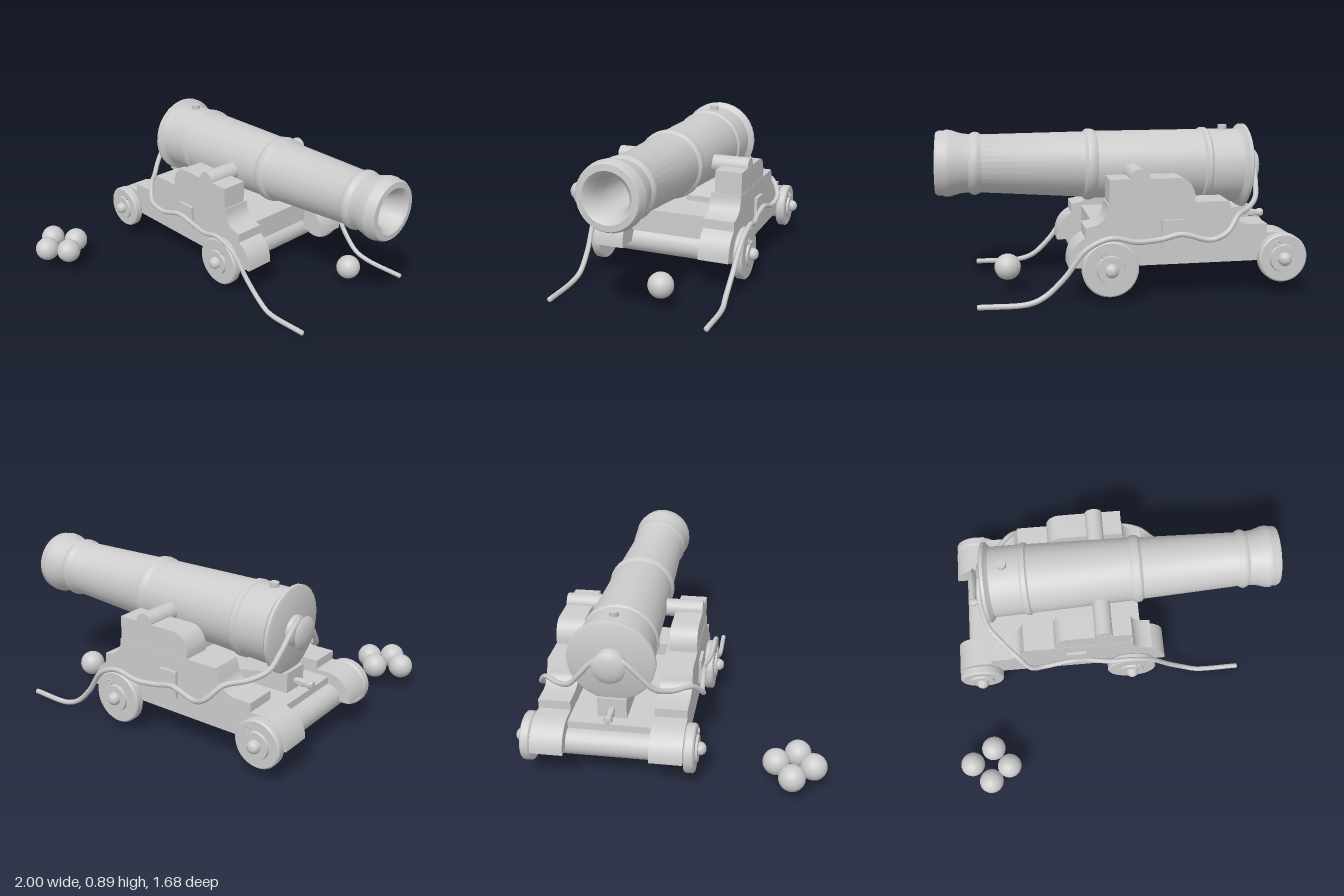
import * as THREE from 'three';
import { toCreasedNormals } from 'three/addons/utils/BufferGeometryUtils.js';

const grey = new THREE.MeshStandardMaterial({ color: 0xcccccc, side: THREE.DoubleSide });

function add(parent, name, geometry, x = 0, y = 0, z = 0) {
  const mesh = new THREE.Mesh(geometry, grey);
  mesh.name = name;
  mesh.position.set(x, y, z);
  parent.add(mesh);
  return mesh;
}

const lathe = (pts, sides, crease = 0.6) => toCreasedNormals(
  new THREE.LatheGeometry(pts.map(([r, h]) => new THREE.Vector2(r, h)), sides), crease);

// Box given by its limits
function block(parent, name, x0, x1, y0, y1, z0, z1) {
  return add(parent, name, new THREE.BoxGeometry(x1 - x0, y1 - y0, z1 - z0),
    (x0 + x1) / 2, (y0 + y1) / 2, (z0 + z1) / 2);
}

// Extrude a side outline between two distances from the centre line, on side s
function slab(parent, name, shape, near, far, s) {
  const geo = new THREE.ExtrudeGeometry(shape, { depth: far - near, bevelEnabled: false, curveSegments: 10 });
  return add(parent, name, toCreasedNormals(geo, 0.5), 0, 0, s > 0 ? near : -far);
}

function cheekShape() {
  const p = new THREE.Shape();
  p.moveTo(-0.98, 0.195);
  p.absarc(-0.83, 0.2, 0.15, Math.PI, Math.PI / 2, true);
  p.lineTo(-0.765, 0.35);
  p.lineTo(-0.765, 0.4);
  p.lineTo(-0.665, 0.4);
  p.quadraticCurveTo(-0.58, 0.41, -0.57, 0.475);
  p.lineTo(-0.55, 0.53);
  p.lineTo(0.1, 0.53);
  p.quadraticCurveTo(0.1, 0.415, 0.22, 0.41);
  p.lineTo(0.22, 0.355);
  p.quadraticCurveTo(0.307, 0.31, 0.307, 0.195);
  p.closePath();
  return p;
}

function capShape() {
  const p = new THREE.Shape();
  p.moveTo(-0.366, 0.53);
  p.lineTo(-0.366, 0.57);
  p.quadraticCurveTo(-0.345, 0.655, -0.28, 0.66);
  p.lineTo(0.093, 0.66);
  p.lineTo(0.093, 0.53);
  p.closePath();
  return p;
}

function createBarrel() {
  const barrel = new THREE.Group();
  barrel.name = 'barrel';
  barrel.position.y = 0.678;
  barrel.rotation.z = -Math.PI / 2 + 0.03;
  // Tube with reinforcing rings, muzzle swell and hollow bore
  add(barrel, 'barrelTube', lathe([
    [0, -0.75], [0.225, -0.75], [0.24, -0.742], [0.24, -0.725], [0.222, -0.712], [0.21, -0.7],
    [0.207, -0.525], [0.216, -0.515], [0.216, -0.49], [0.205, -0.48],
    [0.187, 0.115], [0.197, 0.13], [0.2, 0.15], [0.197, 0.17], [0.183, 0.185],
    [0.16, 0.745], [0.172, 0.765], [0.174, 0.78], [0.17, 0.795], [0.16, 0.81],
    [0.165, 0.855], [0.182, 0.91], [0.184, 0.935], [0.177, 0.948], [0.177, 0.975], [0.168, 0.99],
    [0.135, 0.993], [0.115, 0.975], [0.095, 0.92], [0.085, 0.85], [0.085, 0.35], [0, 0.35],
  ], 32));
  // Cascabel: neck, collar and flattened button
  add(barrel, 'cascabel', lathe([
    [0, -0.84], [0.05, -0.836], [0.08, -0.826], [0.092, -0.815], [0.08, -0.803], [0.04, -0.795],
    [0.04, -0.785], [0.075, -0.778], [0.083, -0.765], [0.083, -0.745],
  ], 24, 1));
  const vent = add(barrel, 'vent', new THREE.CylinderGeometry(0.026, 0.026, 0.05, 14), -0.208, -0.617, 0);
  vent.rotation.z = Math.PI / 2;
  return barrel;
}

function createWheel(name, x, y, r, s) {
  const wheel = new THREE.Group();
  wheel.name = name;
  wheel.position.set(x, y, s * 0.41);
  wheel.rotation.x = s * Math.PI / 2;
  // Disc, raised centre plate and domed axle end
  add(wheel, 'disc', lathe([[0, 0], [r - 0.008, 0], [r, 0.008], [r, 0.047], [r - 0.008, 0.055], [0, 0.055]], 36));
  add(wheel, 'plate', lathe([[0.078, 0.05], [0.073, 0.068], [0, 0.068]], 28));
  add(wheel, 'axleEnd', lathe([[0.036, 0.06], [0.036, 0.085], [0.027, 0.1], [0.012, 0.108], [0, 0.11]], 16, 0.9));
  // Linchpin eye
  const eye = add(wheel, 'linchpinEye', new THREE.TorusGeometry(0.014, 0.004, 6, 14), 0.04, 0.064, -s * 0.085);
  eye.rotation.x = Math.PI / 2;
  return wheel;
}

function createRope(s) {
  const path = [
    [-0.775, 0.72, 0], [-0.785, 0.67, 0.09], [-0.775, 0.58, 0.17], [-0.755, 0.51, 0.23], [-0.69, 0.468, 0.31],
    [-0.6, 0.45, 0.41], [-0.525, 0.37, 0.462], [-0.445, 0.332, 0.447], [-0.285, 0.365, 0.437],
    [-0.18, 0.34, 0.43], [-0.045, 0.335, 0.45], [0.09, 0.362, 0.46], [0.22, 0.305, 0.455],
    [0.33, 0.16, 0.443], [0.435, 0.06, 0.44], [0.52, 0.027, 0.45], [0.78, 0.022, 0.45],
  ].map(([x, y, z]) => new THREE.Vector3(x, y, z * s));
  return new THREE.TubeGeometry(new THREE.CatmullRomCurve3(path), 110, 0.015, 8);
}

export function createModel() {
  const model = new THREE.Group();
  model.name = 'cannon';
  const gun = new THREE.Group();
  gun.name = 'gunAndCarriage';
  gun.position.z = -0.32;
  model.add(gun);
  gun.add(createBarrel());

  // Trunnions
  const trunnion = add(gun, 'trunnions', new THREE.CylinderGeometry(0.052, 0.052, 0.81, 20), -0.072, 0.659, 0);
  trunnion.rotation.x = Math.PI / 2;

  // Carriage sides, wheels and breeching ropes, mirrored
  for (const s of [1, -1]) {
    const side = s > 0 ? 'left' : 'right';
    slab(gun, side + 'Cheek', cheekShape(), 0.23, 0.408, s);
    slab(gun, side + 'TrunnionBlock', capShape(), 0.25, 0.406, s);
    block(gun, side + 'Bracket', -0.3, -0.185, 0.29, 0.44, s > 0 ? 0.4 : -0.425, s > 0 ? 0.425 : -0.4);
    gun.add(createWheel(side + 'FrontWheel', 0.093, 0.195, 0.15, s));
    gun.add(createWheel(side + 'RearWheel', -0.842, 0.22, 0.133, s));
    add(gun, side + 'Rope', createRope(s));
    const end = add(gun, side + 'RopeEnd', new THREE.SphereGeometry(0.015, 8, 6), 0.78, 0.022, s * 0.45);
    end.scale.x = 0.5;
  }

  // Axles
  for (const [name, x, y] of [['frontAxle', 0.093, 0.193], ['rearAxle', -0.842, 0.21]]) {
    const axle = add(gun, name, new THREE.CylinderGeometry(0.075, 0.075, 0.83, 20), x, y, 0);
    axle.rotation.x = Math.PI / 2;
  }

  // Bed planks and cross pieces between the cheeks
  block(gun, 'bed', -0.84, 0.08, 0.265, 0.325, -0.235, 0.235);
  block(gun, 'frontTransom', -0.06, 0.16, 0.262, 0.4, -0.235, 0.235);
  block(gun, 'middleBeam', -0.42, -0.3, 0.2, 0.27, -0.235, 0.235);

  // Elevating wedge with turned handle
  const wedge = new THREE.Shape();
  wedge.moveTo(-0.77, 0.32);
  wedge.lineTo(-0.77, 0.44);
  wedge.lineTo(-0.35, 0.36);
  wedge.lineTo(-0.35, 0.32);
  wedge.closePath();
  add(gun, 'wedge', new THREE.ExtrudeGeometry(wedge, { depth: 0.16, bevelEnabled: false }), 0, 0, -0.08);
  const handle = add(gun, 'wedgeHandle', lathe([
    [0, -0.06], [0.02, -0.055], [0.025, -0.035], [0.016, -0.015], [0.023, 0.01], [0.016, 0.06],
  ], 14, 1), -0.825, 0.373, 0);
  handle.rotation.z = -Math.PI / 2;

  // Shot
  const shot = new THREE.SphereGeometry(0.072, 28, 18);
  for (const [x, z] of [[-0.93, 0.655], [-0.8, 0.567], [-0.708, 0.682], [-0.82, 0.767], [0.615, -0.455]]) {
    add(model, 'cannonBall', shot, x, 0.144, z);
  }
  return model;
}
